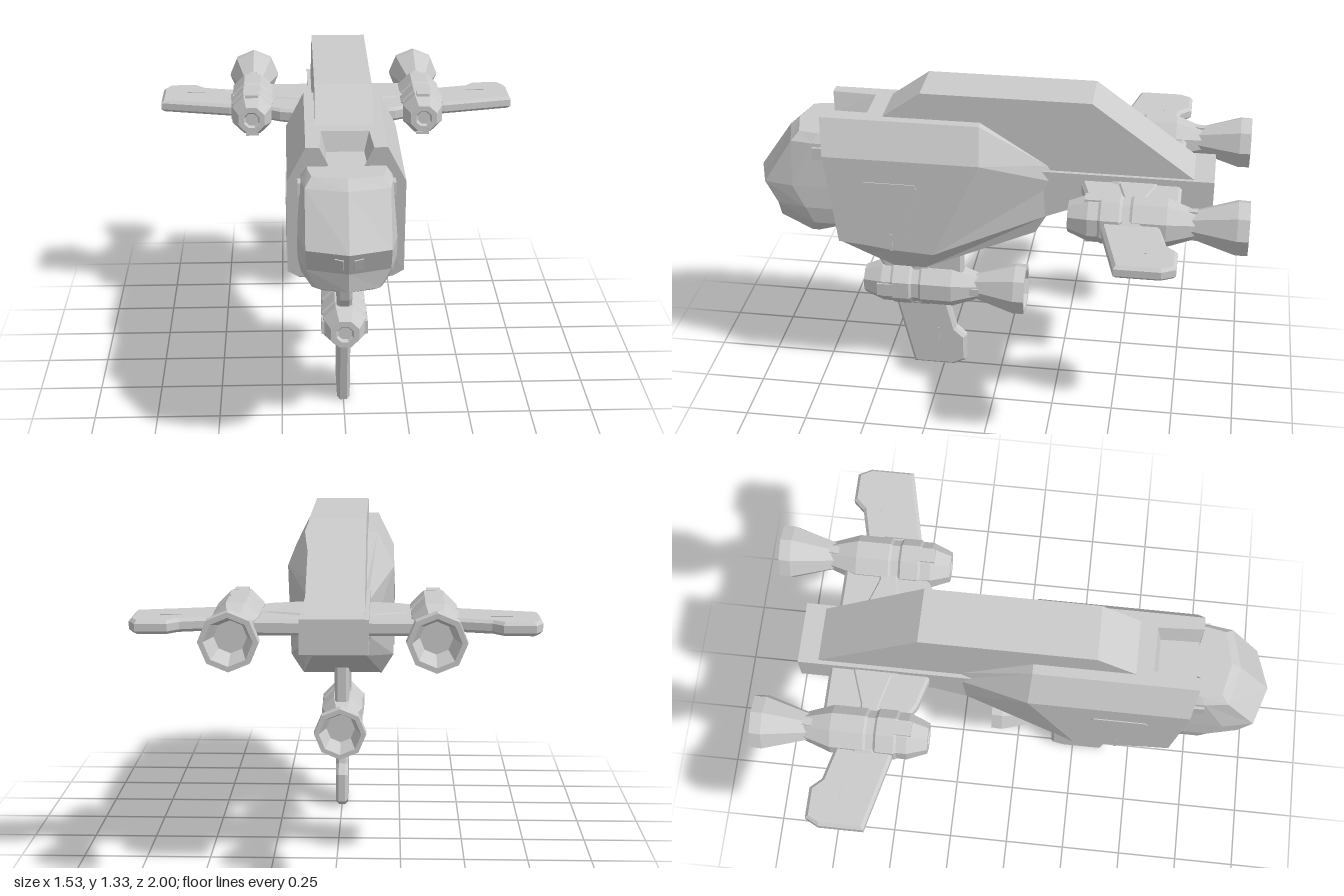
import * as THREE from 'three';

const mat = new THREE.MeshStandardMaterial({ color: 0xcccccc, flatShading: true });

function part(name, geometry, parent) {
  const m = new THREE.Mesh(geometry, mat);
  m.name = name;
  parent.add(m);
  return m;
}

// Skin over rings of [x, y, z], with fan caps at both ends
function loft(rings) {
  const pos = [];
  const tri = (...p) => p.forEach((v) => pos.push(...v));
  const mid = (r) => [0, 1, 2].map((k) => r.reduce((s, p) => s + p[k], 0) / r.length);
  const n = rings[0].length;
  for (let j = 0; j < n; j++) {
    const k = (j + 1) % n;
    for (let i = 0; i < rings.length - 1; i++) {
      const [a, b, c, d] = [rings[i][j], rings[i][k], rings[i + 1][k], rings[i + 1][j]];
      tri(a, d, c);
      tri(a, c, b);
    }
    const first = rings[0], last = rings[rings.length - 1];
    tri(mid(first), first[j], first[k]);
    tri(mid(last), last[k], last[j]);
  }
  const g = new THREE.BufferGeometry();
  g.setAttribute('position', new THREE.Float32BufferAttribute(pos, 3));
  g.computeVertexNormals();
  return g;
}

const shape = (pts) => new THREE.Shape(pts.map(([x, y]) => new THREE.Vector2(x, y)));

// Side profile in [z, y], extruded across x and centred on x = 0
function sideSlab(pts, width) {
  return new THREE.ExtrudeGeometry(shape(pts), { depth: width, bevelEnabled: false })
    .rotateY(-Math.PI / 2).translate(width / 2, 0, 0);
}

// Plan outline in [x, z], with chamfered edges, centred on y = 0
function plate(pts, thick, bevel = 0.012) {
  return new THREE.ExtrudeGeometry(shape(pts), {
    depth: thick - 2 * bevel, bevelThickness: bevel, bevelSize: bevel,
    bevelOffset: -bevel, bevelSegments: 1,
  }).rotateX(Math.PI / 2).translate(0, thick / 2 - bevel, 0);
}

// Eight-sided turned form along z from [radius, z]
function turned(pts, phase = 0) {
  return new THREE.LatheGeometry(pts.map(([r, z]) => new THREE.Vector2(r, z)), 8, phase)
    .rotateX(Math.PI / 2);
}

function thruster(name) {
  const g = new THREE.Group();
  g.name = name;
  part('engineBody', turned([
    [0, -0.8], [0.055, -0.8], [0.094, -0.69], [0.094, -0.56], [0.088, -0.55], [0.088, -0.52],
    [0.097, -0.51], [0.097, -0.44], [0.091, -0.43], [0.091, -0.39], [0.06, -0.312],
    [0.036, -0.312], [0.028, -0.325], [0, -0.325]], Math.PI / 8), g);
  part('exhaustBell', turned([
    [0, -0.9], [0.06, -0.9], [0.088, -1], [0.108, -1], [0.11, -0.955],
    [0.058, -0.79], [0.05, -0.75], [0, -0.75]]), g);
  // Hatches, and fuel blocks behind the body
  for (const s of [-1, 1]) {
    part('engineHatch', new THREE.BoxGeometry(0.055, 0.012, 0.07), g).position.set(0, s * 0.085, -0.41);
    part('engineClamp', new THREE.BoxGeometry(0.03, 0.02, 0.05), g).position.set(0, s * 0.052, -0.78);
    part('wingRib', new THREE.BoxGeometry(0.08, 0.006, 0.008), g).position.set(0.25, s * 0.026, -0.625);
  }
  part('outerWing', plate([
    [0.03, -0.44], [0.1, -0.445], [0.398, -0.515], [0.398, -0.69], [0.37, -0.743],
    [0.25, -0.743], [0.21, -0.7], [0.09, -0.67], [0.03, -0.67]], 0.052), g);
  part('pylon', plate([
    [-0.28, -0.34], [-0.23, -0.34], [-0.12, -0.37], [-0.07, -0.4], [-0.03, -0.45],
    [-0.03, -0.7], [-0.07, -0.735], [-0.28, -0.735]], 0.06), g);
  part('pylonFairing', plate([
    [-0.28, -0.37], [-0.22, -0.48], [-0.1, -0.51], [0, -0.51], [0.1, -0.51],
    [0.1, -0.6], [-0.1, -0.6], [-0.28, -0.66]], 0.072, 0.015), g);
  return g;
}

export function createModel() {
  const model = new THREE.Group();
  model.name = 'dropship';

  // Main hull, with a notch in the roof behind the cockpit
  const mirrored = (half) => [...half, ...half.map(([x, y, z]) => [-x, y, z]).reverse()];
  const hull = [
    [[0.18, 0.675, 0.633], [0.22, 0.7, 0.638], [0.22, 1.08, 0.69], [0.15, 1.22, 0.71], [0.1, 1.22, 0.71], [0.075, 1.14, 0.7]],
    [[0.174, 0.625, 0.53], [0.22, 0.69, 0.53], [0.22, 1.08, 0.53], [0.15, 1.22, 0.53], [0.09, 1.22, 0.53], [0.07, 1.14, 0.55]],
    [[0.174, 0.625, 0.53], [0.22, 0.69, 0.53], [0.22, 1.08, 0.53], [0.15, 1.22, 0.53], [0.09, 1.22, 0.53], [0.07, 1.22, 0.53]],
    [[0.17, 0.575, 0.42], [0.22, 0.675, 0.42], [0.22, 1.08, 0.42], [0.15, 1.22, 0.42], [0.09, 1.22, 0.42], [0.07, 1.22, 0.42]],
    [[0.17, 0.575, 0.29], [0.22, 0.665, 0.25], [0.22, 1.08, 0.06], [0.15, 1.22, 0.07], [0.09, 1.22, 0.07], [0.07, 1.22, 0.07]],
    [[0.11, 0.745, -0.155], [0.125, 0.83, -0.2], [0.115, 0.98, -0.24], [0.11, 1.05, -0.2], [0.09, 1.05, -0.2], [0.07, 1.05, -0.2]],
  ];
  part('hull', loft(hull.map(mirrored)), model);

  // Spine and tail
  part('spine', sideSlab([
    [0.47, 1.215], [0.31, 1.33], [-0.37, 1.33], [-0.78, 1.03], [-0.85, 1.0],
    [-0.4, 0.93], [-0.1, 0.9], [0.3, 1.1]], 0.22), model);
  part('tailDeck', sideSlab([
    [-0.86, 0.9], [-0.86, 1.03], [-0.25, 1.03], [-0.05, 1.03], [-0.1, 0.83],
    [-0.2, 0.83], [-0.32, 0.88], [-0.45, 0.9]], 0.252), model);

  // Cockpit rows: y, nose z, corner x, corner z, side x, side z, back z
  const cockpit = [
    [1.145, 0.83, 0.13, 0.8, 0.145, 0.72, 0.5],
    [1.11, 0.87, 0.155, 0.83, 0.168, 0.74, 0.5],
    [0.92, 1.0, 0.155, 0.95, 0.18, 0.83, 0.5],
    [0.825, 0.95, 0.155, 0.9, 0.183, 0.78, 0.55],
    [0.75, 0.94, 0.115, 0.9, 0.17, 0.75, 0.62],
    [0.695, 0.82, 0.09, 0.8, 0.13, 0.77, 0.74],
  ].map(([y, nz, cx, cz, sx, sz, bz]) => [
    [sx, y, bz], [-sx, y, bz], [-sx, y, sz], [-cx, y, cz], [0, y, nz], [cx, y, cz], [sx, y, sz]]);
  part('cockpit', loft(cockpit), model);

  for (const s of [-1, 1]) {
    // Nose sensors
    const sensor = part('noseSensor', new THREE.BoxGeometry(0.035, 0.055, 0.012), model);
    sensor.position.set(s * 0.035, 0.872, 0.962);
    sensor.rotation.set(0.46, s * 0.3, 0);
    // Side doors and cockpit hinges
    part('sideDoor', sideSlab([
      [0.525, 0.98], [0.535, 0.96], [0.475, 0.75], [0.36, 0.75], [0.31, 0.96], [0.32, 0.98]], 0.008),
    model).position.x = s * 0.22;
    part('doorRail', new THREE.BoxGeometry(0.012, 0.075, 0.012), model).position.set(s * 0.218, 0.71, 0.42);
    part('cockpitHinge', new THREE.BoxGeometry(0.02, 0.05, 0.06), model).position.set(s * 0.17, 1.07, 0.71);
  }

  // Three identical thrusters: left, right and below
  for (const [name, x, y, z, roll] of [
    ['leftThruster', 0.368, 0.973, 0, 0],
    ['rightThruster', -0.368, 0.973, 0, Math.PI],
    ['lowerThruster', 0, 0.4, 0.895, -Math.PI / 2],
  ]) {
    const t = thruster(name);
    t.position.set(x, y, z);
    t.rotation.z = roll;
    model.add(t);
  }
  return model;
}
